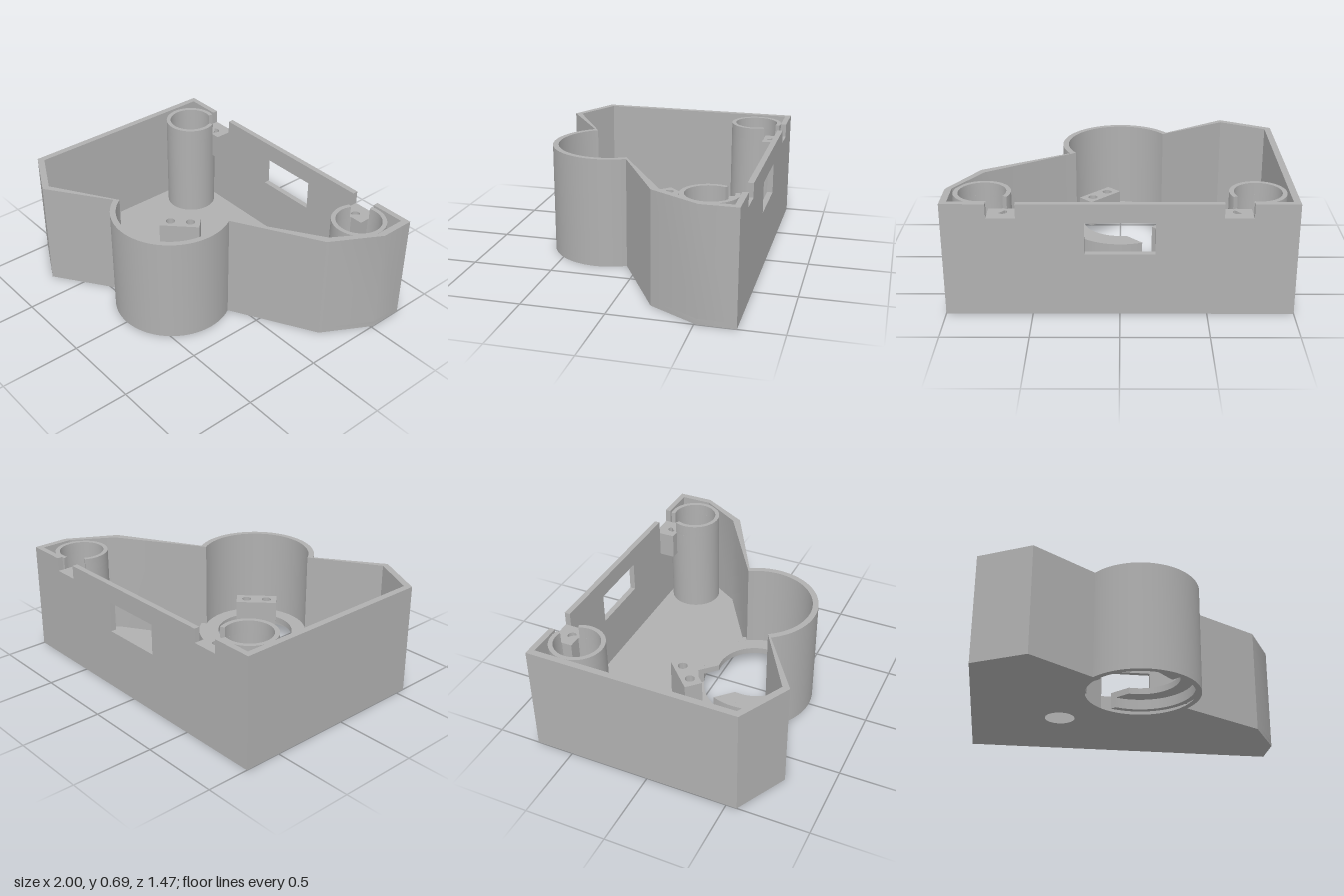
import * as THREE from 'three';
import { toCreasedNormals } from 'three/addons/utils/BufferGeometryUtils.js';

const H = 0.685;       // overall height
const FLOOR = 0.035;   // floor thickness
const PLATE = 0.14;    // top of the raised seat around the large hole
const CZ = 0.26;       // z of the round bay centre
const R = 0.365, RI = 0.33, RH = 0.24;
const rad = THREE.MathUtils.degToRad;

export function createModel() {
  const group = new THREE.Group();
  const grey = new THREE.MeshStandardMaterial({ color: 0xb0b0b0 });
  grey.name = 'grey plastic';

  const add = (name, geometry, parent = group) => {
    const mesh = new THREE.Mesh(toCreasedNormals(geometry, rad(30)), grey);
    mesh.name = name;
    parent.add(mesh);
    return mesh;
  };
  const extrude = (shape, depth) =>
    new THREE.ExtrudeGeometry(shape, { depth, bevelEnabled: false, curveSegments: 40 });
  // Plan shapes are drawn as (x, -z) and raised from y0 to y1
  const raise = (name, shape, y0, y1, parent) =>
    add(name, extrude(shape, y1 - y0).rotateX(-Math.PI / 2).translate(0, y0, 0), parent);
  const circle = (x, z, r) => new THREE.Path().absarc(x, -z, r, 0, Math.PI * 2, true);
  // Ring sector; the two radii may use different end angles (degrees)
  const sector = (x, z, r0, r1, a0, a1, b0 = a0, b1 = a1) => {
    const s = new THREE.Shape();
    s.absarc(x, -z, r1, rad(a0), rad(a1), false);
    s.absarc(x, -z, r0, rad(b1), rad(b0), true);
    s.closePath();
    return s;
  };
  const rect = (x0, z0, x1, z1) => new THREE.Shape([
    new THREE.Vector2(x0, -z0), new THREE.Vector2(x0, -z1),
    new THREE.Vector2(x1, -z1), new THREE.Vector2(x1, -z0)]);

  // Outer outline, from the back right corner round the front
  const outline = () => {
    const s = new THREE.Shape();
    s.moveTo(1, 0.7);
    s.lineTo(1, 0.515);
    s.lineTo(0.83, 0.215);
    s.absarc(0, -CZ, R, rad(30.7), rad(-145.6), true);
    s.lineTo(-0.68, -0.73);
    s.lineTo(-1, -0.565);
    s.lineTo(-1, 0.7);
    return s;
  };

  // Floor with the large counterbore and the cable hole
  const floor = outline();
  floor.closePath();
  floor.holes.push(circle(0, CZ, RI), circle(-0.45, -0.19, 0.093));
  raise('floor', floor, 0, FLOOR);

  // Side and front walls as one ribbon
  const walls = outline();
  walls.lineTo(-0.96, 0.7);
  walls.lineTo(-0.96, -0.54);
  walls.lineTo(-0.68, -0.685);
  walls.absarc(0, -CZ, RI, rad(-147.3), rad(32.7), false);
  walls.lineTo(0.805, 0.255);
  walls.lineTo(0.96, 0.505);
  walls.lineTo(0.96, 0.7);
  walls.closePath();
  raise('outerWalls', walls, FLOOR, H);

  // Back wall with two top notches and a window
  const NOTCH = 0.6;
  const back = new THREE.Shape();
  [[-1, 0], [1, 0], [1, H], [0.745, H], [0.745, NOTCH], [0.58, NOTCH], [0.58, H],
    [-0.58, H], [-0.58, NOTCH], [-0.745, NOTCH], [-0.745, H], [-1, H]]
    .forEach(([x, y], i) => (i ? back.lineTo(x, y) : back.moveTo(x, y)));
  back.closePath();
  back.holes.push(new THREE.Path([[-0.2, 0.38], [-0.2, 0.57], [0.2, 0.57], [0.2, 0.38]]
    .map(([x, y]) => new THREE.Vector2(x, y))));
  add('backWall', extrude(back, 0.035).translate(0, 0, -0.735));

  // Raised seat: slotted plate and the rim that carries it inside the box
  raise('seatPlate', sector(0, CZ, RH, RI, 160.1, 469.9, 170.7, 459.3), 0.1, PLATE);
  raise('seatRim', sector(0, CZ, RI, R, 30.7, 112.4, 30.7, 109.9), FLOOR, PLATE);
  raise('seatRim', sector(0, CZ, RI, R, 157.6, 214.4, 160.1, 214.4), FLOOR, PLATE);

  // Screw blocks either side of the large hole, with blind holes
  const screwBlock = (x, z, y0, y1) => {
    const block = new THREE.Group();
    block.name = 'screwBlock';
    const top = rect(-0.132, -0.056, 0.132, 0.056);
    top.holes.push(circle(-0.066, 0, 0.03), circle(0.066, 0, 0.03));
    raise('screwBlockBase', rect(-0.132, -0.056, 0.132, 0.056), y0, y0 + 0.03, block);
    raise('screwBlockTop', top, y0 + 0.03, y1, block);
    block.position.set(x, 0, z);
    block.rotation.y = Math.PI / 4;
    group.add(block);
  };
  screwBlock(-0.33, -0.067, FLOOR, 0.27);
  screwBlock(0.137, 0.4, 0.1, 0.27);

  // Corner tubes and the lid tabs that cut into them
  for (const side of [-1, 1]) {
    const x = side * 0.785, z = -0.53;
    const tube = new THREE.Shape().absarc(x, -z, 0.165, 0, Math.PI * 2, false);
    tube.holes.push(circle(x, z, 0.138));
    raise('cornerTube', tube, FLOOR, NOTCH);
    const [a0, a1] = side < 0 ? [75, 387] : [153, 465];
    raise('cornerTubeTop', sector(x, z, 0.138, 0.165, a0, a1), NOTCH, 0.675);

    const xs = [side * 0.745, side * 0.58].sort((a, b) => a - b);
    const tab = rect(xs[0], -0.7, xs[1], -0.6);
    tab.holes.push(circle(side * 0.66, -0.645, 0.027));
    raise('lidTab', tab, 0.46, NOTCH);
    raise('lidTabBase', rect(xs[0], -0.7, xs[1], -0.6), 0.435, 0.46);
  }
  return group;
}
